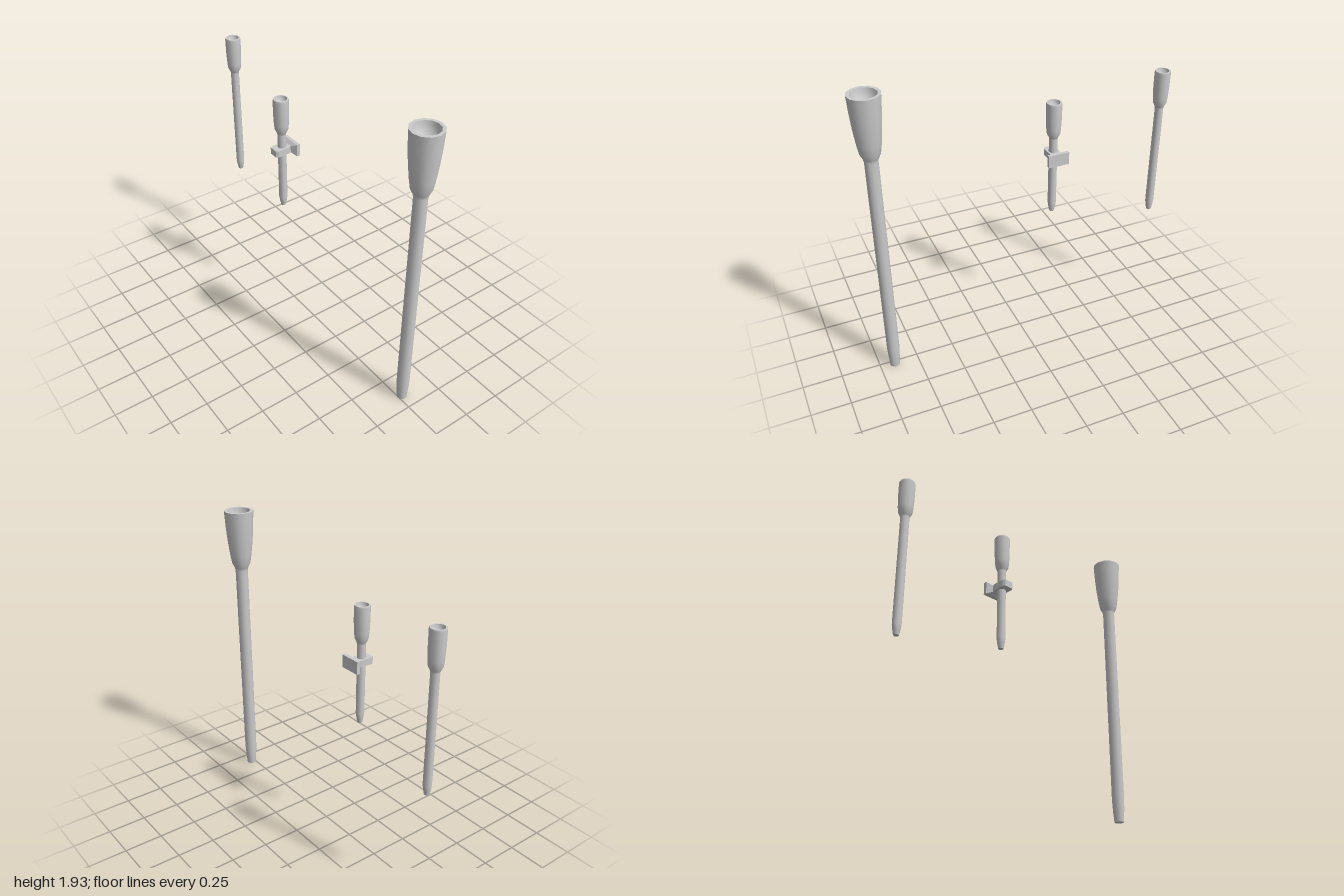
import * as THREE from 'three';

const material = new THREE.MeshStandardMaterial({ color: 0xcccccc });
const bracketMaterial = new THREE.MeshStandardMaterial({ color: 0xcccccc, flatShading: true });

// One smooth lathed surface; profile is [radius, height] running bottom to top on outer faces
function lathe(name, profile) {
  const points = profile.map(([r, y]) => new THREE.Vector2(r, y));
  const mesh = new THREE.Mesh(new THREE.LatheGeometry(points, 12), material);
  mesh.name = name;
  return mesh;
}

// A torch: tapered shaft with flared cup, flat rim and hollow bowl
function makeTorch(name, outer, innerRadius, bowlDepth) {
  const torch = new THREE.Group();
  torch.name = name;
  const [tipR, tipY] = outer[0];
  const [topR, topY] = outer[outer.length - 1];
  const bowl = [];
  for (let i = 0; i <= 5; i++) {
    const a = (i / 5) * Math.PI / 2;
    bowl.push([innerRadius * Math.cos(a), topY - bowlDepth * Math.sin(a)]);
  }
  bowl[5][0] = 0;
  torch.add(
    lathe('shaftAndCup', outer),
    lathe('tipCap', [[0, tipY], [tipR, tipY]]),
    lathe('rim', [[topR, topY], [innerRadius, topY]]),
    lathe('bowl', bowl)
  );
  return torch;
}

// Rectangular sections [x, halfHeight, halfDepth] joined along x
function loftAlongX(sections) {
  const positions = [], indices = [];
  for (const [x, h, d] of sections) {
    positions.push(x, -h, -d, x, h, -d, x, h, d, x, -h, d);
  }
  const last = (sections.length - 1) * 4;
  for (let s = 0; s < last; s += 4) {
    for (let i = 0; i < 4; i++) {
      const j = (i + 1) % 4;
      const a = s + i, b = s + j;
      indices.push(a, b, b + 4, a, b + 4, a + 4);
    }
  }
  indices.push(0, 2, 1, 0, 3, 2);
  indices.push(last, last + 1, last + 2, last, last + 2, last + 3);
  const geometry = new THREE.BufferGeometry();
  geometry.setAttribute('position', new THREE.Float32BufferAttribute(positions, 3));
  geometry.setIndex(indices);
  const flat = geometry.toNonIndexed();
  flat.computeVertexNormals();
  return flat;
}

// Profile of a small torch from its tip, cup base and top heights
function smallProfile(tip, cup, top) {
  return [
    [0.016, tip], [0.022, tip + 0.03], [0.027, tip + 0.065], [0.027, cup - 0.01],
    [0.03, cup], [0.042, cup + 0.025], [0.046, cup + 0.06],
    [0.049, cup + 0.13], [0.05, top - 0.01], [0.047, top]
  ];
}

export function createModel() {
  const model = new THREE.Group();
  model.name = 'torches';

  // Tall standing torch
  const standing = makeTorch('standingTorch', [
    [0.031, 0], [0.037, 0.07], [0.041, 0.15], [0.041, 1.53], [0.046, 1.55],
    [0.061, 1.58], [0.071, 1.64], [0.083, 1.74], [0.09, 1.83], [0.096, 1.935]
  ], 0.076, 0.09);
  standing.position.set(0.025, 0, 0.905);
  model.add(standing);

  // Wall torch with its bracket
  const wall = new THREE.Group();
  wall.name = 'wallTorch';
  wall.add(makeTorch('torch', smallProfile(0.845, 1.385, 1.62), 0.039, 0.045));
  const bracket = new THREE.Mesh(loftAlongX([
    [-0.065, 0.022, 0.03], [-0.05, 0.022, 0.039], [0.035, 0.022, 0.036],
    [0.045, 0.022, 0.03], [0.066, 0.041, 0.069], [0.088, 0.041, 0.069]
  ]), bracketMaterial);
  bracket.name = 'wallBracket';
  bracket.position.y = 1.263;
  wall.add(bracket);
  wall.position.set(-0.065, 0, -0.255);
  model.add(wall);

  // Hand-held torch
  const hand = makeTorch('handTorch', smallProfile(0.73, 1.5, 1.74), 0.039, 0.045);
  hand.position.set(0.025, 0, -0.95);
  model.add(hand);

  return model;
}
